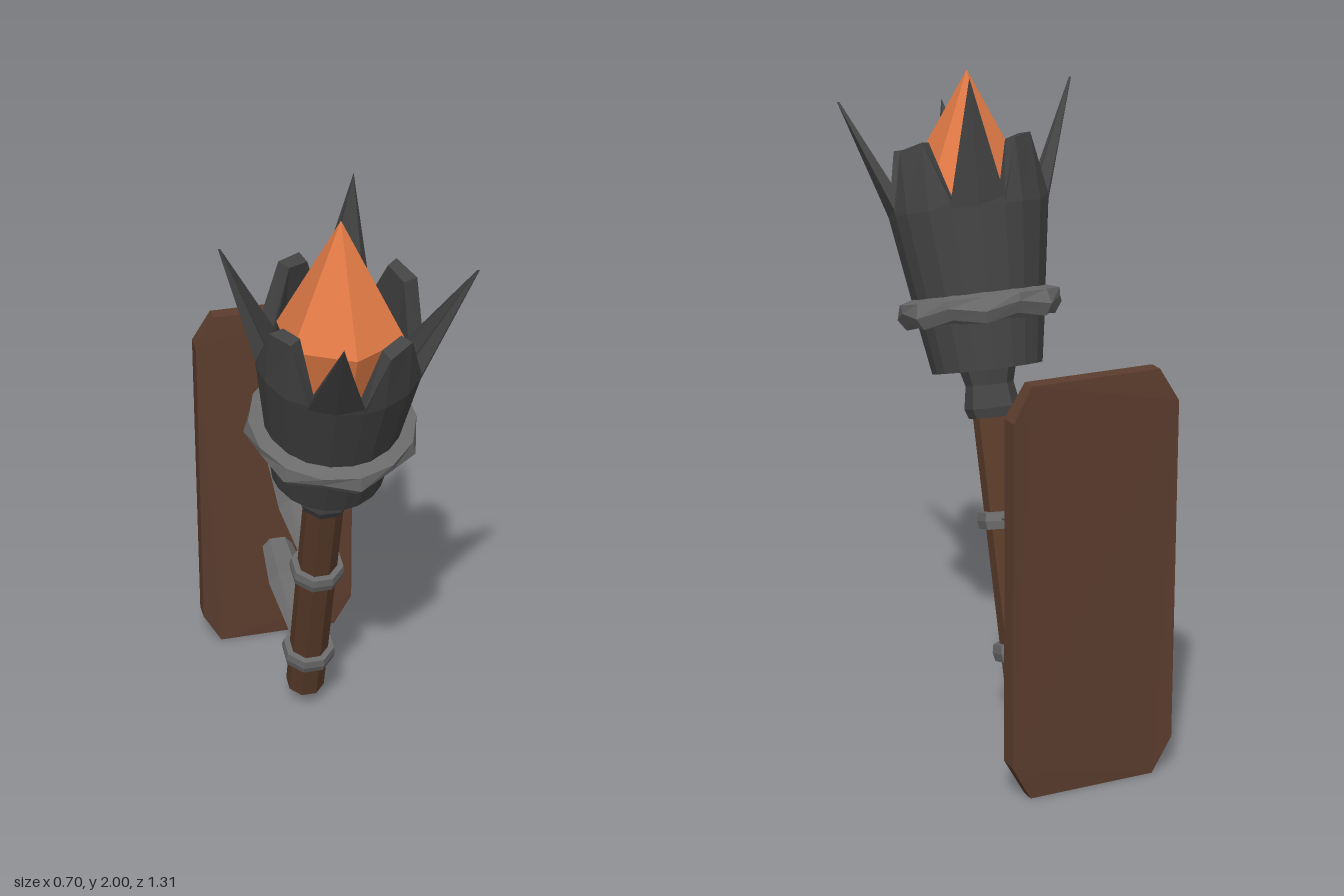
import * as THREE from 'three';

const TILT = THREE.MathUtils.degToRad(16.2);
const mat = (color) => new THREE.MeshStandardMaterial({ color, flatShading: true });
const wood = mat(0x5c3d2e), handleWood = mat(0x5a3b2a), iron = mat(0x434343);
const lightIron = mat(0x6a6a6a), ember = mat(0xe07a45);

function part(name, geometry, material, parent) {
  const mesh = new THREE.Mesh(geometry, material);
  mesh.name = name;
  parent.add(mesh);
  return mesh;
}

// Joins closed rows of points into a faceted surface
function loft(rows) {
  const n = rows[0].length, index = [];
  for (let j = 0; j < rows.length - 1; j++) {
    for (let i = 0; i < n; i++) {
      const a = j * n + i, b = j * n + (i + 1) % n;
      index.push(a, b, b + n, a, b + n, a + n);
    }
  }
  const geometry = new THREE.BufferGeometry().setFromPoints(rows.flat());
  geometry.setIndex(index);
  const flat = geometry.toNonIndexed();
  flat.computeVertexNormals();
  return flat;
}

const polar = (a, r, y) => new THREE.Vector3(r * Math.sin(a), y, r * Math.cos(a));

// Turned shape from [radius, height] pairs
function turned(profile, sides, phase = 0) {
  return loft(profile.map(([r, y]) =>
    Array.from({ length: sides }, (_, i) => polar(phase + i * 2 * Math.PI / sides, r, y))));
}

// Cup wall rising into four long spikes and four blunt teeth
function crownGeometry() {
  // angle, outer radius, inner radius, top height for one quarter
  const quarter = [
    [0, 0.362, 0.355, 1.905],
    [19, 0.25, 0.205, 1.56],
    [34, 0.245, 0.2, 1.73],
    [54, 0.24, 0.2, 1.745],
    [71, 0.25, 0.205, 1.56],
  ];
  const columns = [];
  for (let k = 0; k < 4; k++) {
    for (const [deg, out, inn, top] of quarter) {
      columns.push({ a: THREE.MathUtils.degToRad(deg + 90 * k - 16.1), out, inn, top });
    }
  }
  const ring = (r, y) => columns.map((c) => polar(c.a, r, y));
  return loft([
    ring(0, 1.05), ring(0.172, 1.05), ring(0.195, 1.19), ring(0.208, 1.28), ring(0.248, 1.54),
    columns.map((c) => polar(c.a, c.out, c.top)),
    columns.map((c) => polar(c.a, c.inn, c.top)),
    ring(0.2, 1.52), ring(0.17, 1.32), ring(0, 1.32),
  ]);
}

// Heavy band whose lower edge is notched on every other corner
function cupBandGeometry() {
  const profile = [[0.19, 1.195], [0.237, 1.19], [0.262, 1.225], [0.25, 1.27], [0.2, 1.285]];
  const sides = 14;
  return loft(profile.map(([r, y], j) => Array.from({ length: sides }, (_, i) => {
    const notch = i % 2 === 1 && (j === 1 || j === 2);
    return polar(i * 2 * Math.PI / sides + 0.1, notch ? r * 0.95 : r, notch ? y + 0.02 : y);
  })));
}

// Six-sided arm through [z, y, half width, half height] sections
function armGeometry(sections) {
  return loft(sections.map(([z, y, w, h]) => Array.from({ length: 6 }, (_, i) => {
    const a = i * Math.PI / 3;
    return new THREE.Vector3(w * Math.cos(a), y + h * Math.sin(a) / 0.866, z);
  })));
}

// Wall board with cut corners, thinner at its ends
function boardGeometry() {
  const shape = new THREE.Shape([
    [-0.2, 0], [0.2, 0], [0.26, 0.11], [0.26, 1.16], [0.2, 1.26],
    [-0.2, 1.26], [-0.26, 1.16], [-0.26, 0.11],
  ].map(([x, y]) => new THREE.Vector2(x, y)));
  const geometry = new THREE.ExtrudeGeometry(shape, { depth: 0.06, bevelEnabled: false });
  geometry.translate(0, 0, -0.03);
  const p = geometry.attributes.position;
  for (let i = 0; i < p.count; i++) {
    if (Math.abs(p.getY(i) - 0.63) > 0.6) p.setZ(i, p.getZ(i) * 0.8);
  }
  geometry.translate(0, 0, -0.628);
  geometry.computeVertexNormals();
  return geometry;
}

export function createModel() {
  const model = new THREE.Group();
  model.name = 'wallTorch';

  part('backBoard', boardGeometry(), wood, model);

  // Leaning torch, built along its own axis
  const torch = new THREE.Group();
  torch.name = 'torch';
  torch.position.set(0, 0.075, -0.21);
  torch.rotation.x = TILT;
  model.add(torch);

  part('handle', turned([[0, 0], [0.063, 0], [0.063, 0.93], [0, 0.93]], 8, Math.PI / 8), handleWood, torch);
  part('collar', turned([[0, 0.9], [0.076, 0.9], [0.086, 0.93], [0.074, 1.0], [0.09, 1.06]], 8, Math.PI / 8), iron, torch);
  part('crownCup', crownGeometry(), iron, torch);
  part('cupBand', cupBandGeometry(), lightIron, torch);
  for (const [name, y] of [['lowerClamp', 0.173], ['upperClamp', 0.585]]) {
    part(name, turned([[0.06, y - 0.026], [0.083, y - 0.026], [0.088, y], [0.083, y + 0.026], [0.06, y + 0.026]], 8, Math.PI / 8), lightIron, torch);
  }

  // Arms from the board to the clamps
  part('upperArm', armGeometry([[-0.61, 0.802, 0.05, 0.028], [-0.28, 0.717, 0.066, 0.036], [-0.09, 0.655, 0.042, 0.018]]), lightIron, model);
  part('lowerArm', armGeometry([[-0.61, 0.367, 0.05, 0.027], [-0.44, 0.322, 0.066, 0.035], [-0.19, 0.253, 0.042, 0.018]]), lightIron, model);

  // Upright crystal flame
  const flame = part('flame', turned([[0, 1.3], [0.1, 1.38], [0.19, 1.635], [0, 1.98]], 6), ember, model);
  flame.position.z = 0.232;

  return model;
}
